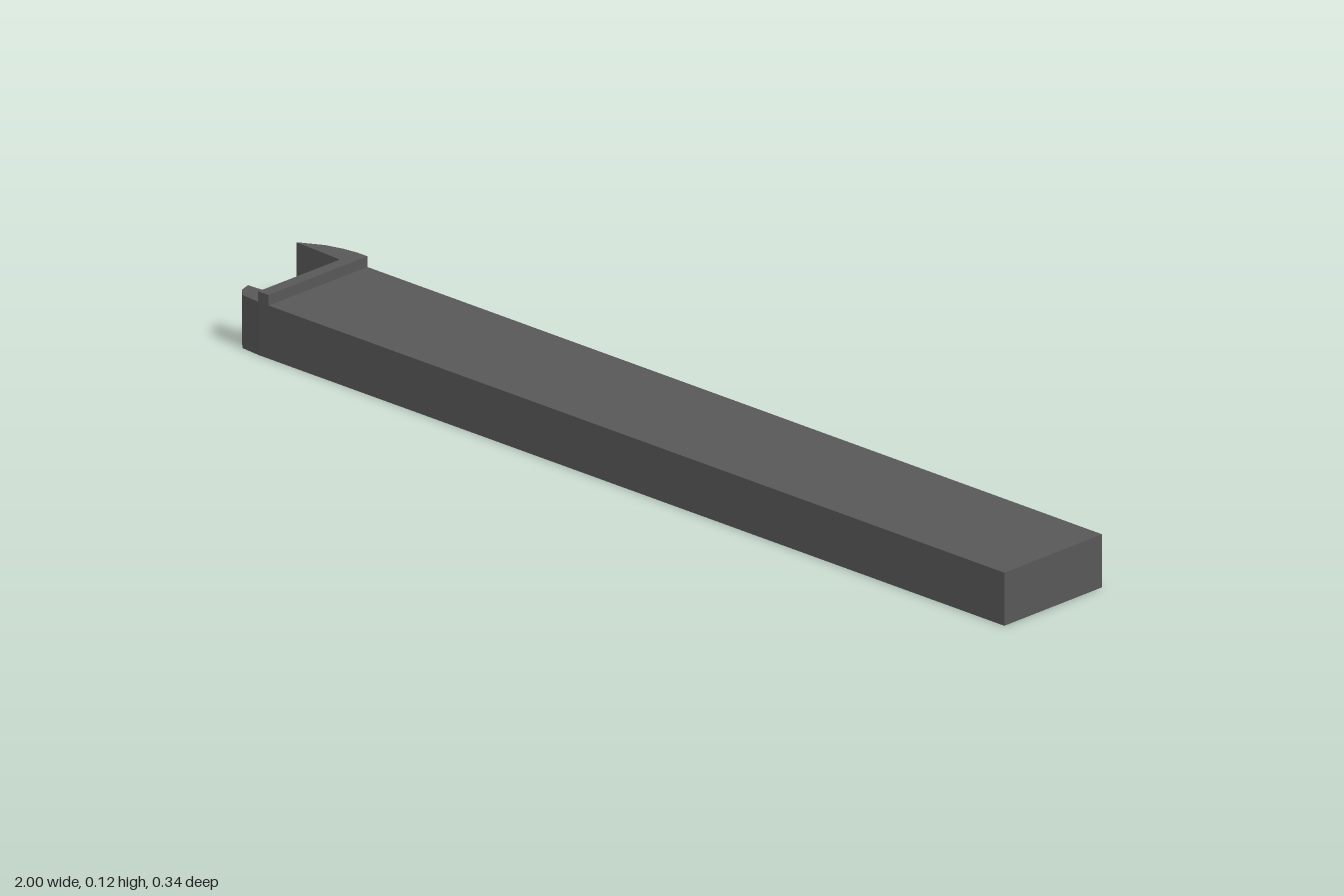
import * as THREE from 'three';

// Upright prism from a plan outline of [x, z] points
function prism(name, plan, y0, y1, material) {
  const shape = new THREE.Shape(plan.map(([x, z]) => new THREE.Vector2(x, -z)));
  const geometry = new THREE.ExtrudeGeometry(shape, { depth: y1 - y0, bevelEnabled: false });
  geometry.rotateX(-Math.PI / 2);
  geometry.translate(0, y0, 0);
  const mesh = new THREE.Mesh(geometry, material);
  mesh.name = name;
  return mesh;
}

export function createModel() {
  const group = new THREE.Group();
  group.name = 'slantedBar';
  const steel = new THREE.MeshStandardMaterial({ color: 0x585858 });
  steel.name = 'dark grey steel';

  const barTop = 0.104;
  const headTop = 0.125;

  // Long bar, turned slightly in plan
  group.add(prism('bar', [
    [-0.887, -0.089], [0.988, -0.171], [1.0, 0.085], [-0.876, 0.169],
  ], 0, barTop, steel));

  // Raised lip across the bar at the head
  group.add(prism('lip', [
    [-0.887, -0.089], [-0.862, -0.09], [-0.851, 0.168], [-0.876, 0.17],
  ], barTop, headTop, steel));

  // Long curved jaw at the back
  group.add(prism('longJaw', [
    [-0.887, -0.089], [-0.92, -0.083], [-0.955, -0.071], [-1.0, -0.043], [-0.885, -0.043],
  ], 0, headTop, steel));

  // Short blunt jaw at the front
  group.add(prism('shortJaw', [
    [-0.876, 0.169], [-0.878, 0.12], [-0.948, 0.127], [-0.94, 0.15], [-0.92, 0.167],
  ], 0, barTop, steel));

  return group;
}
